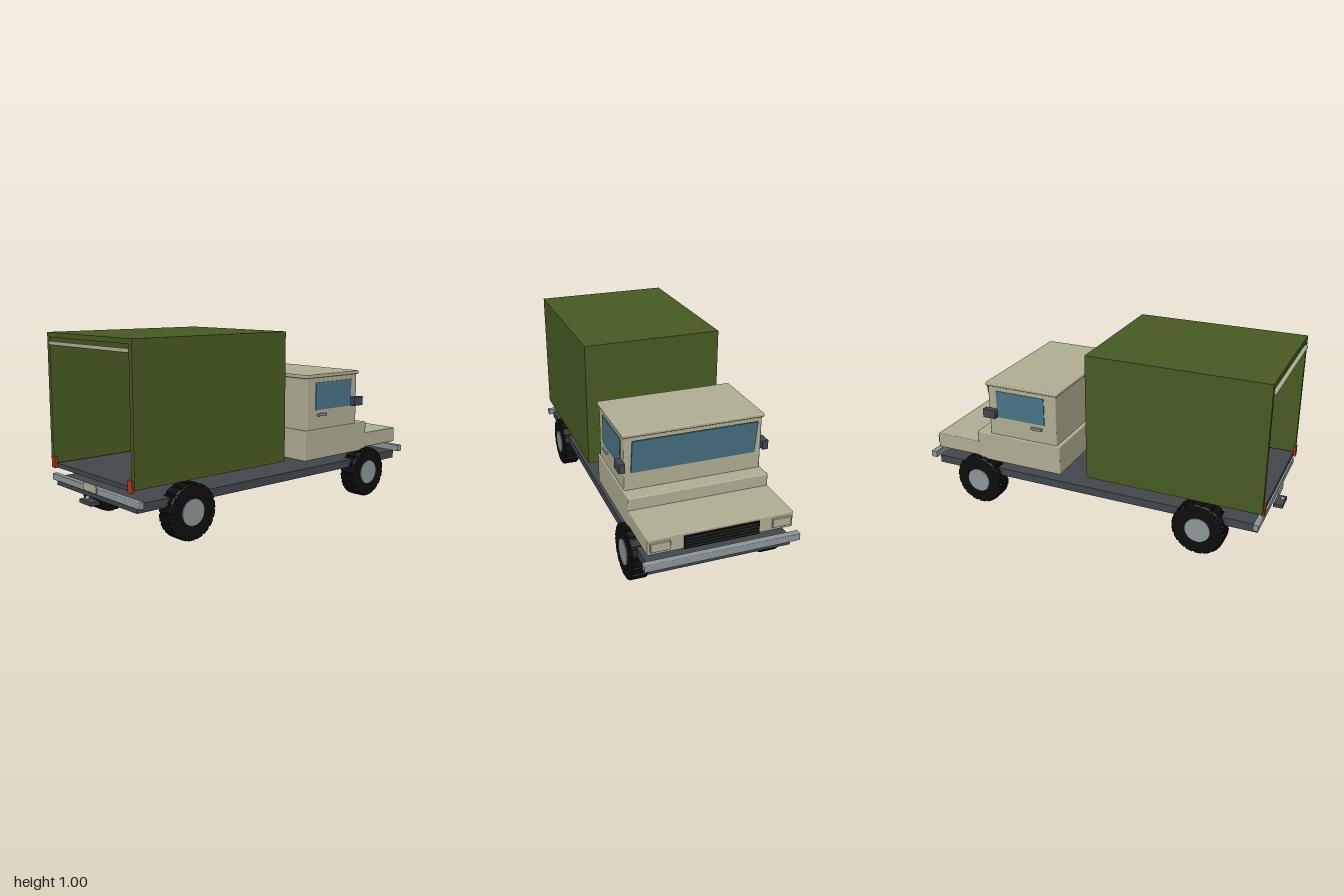
import * as THREE from 'three';
import { RoundedBoxGeometry } from 'three/addons/geometries/RoundedBoxGeometry.js';

const material = (name, color) => {
  const m = new THREE.MeshStandardMaterial({ color });
  m.name = name;
  return m;
};

export function createModel() {
  const green = material('cargo green', 0x475b22);
  const cream = material('cab cream', 0xb1af94);
  const slate = material('chassis slate', 0x42474c);
  const steel = material('steel grey', 0x8c979a);
  const rubber = material('tyre black', 0x0d0d0d);
  const glass = material('window blue', 0x4b7485);
  const orange = material('lamp orange', 0xb03a10);

  const truck = new THREE.Group();
  truck.name = 'boxTruck';

  const add = (name, geometry, mat, parent = truck) => {
    const mesh = new THREE.Mesh(geometry, mat);
    mesh.name = name;
    parent.add(mesh);
    return mesh;
  };
  // Box given by its extents on each axis; bevel > 0 rounds the edges
  const block = (name, mat, [x0, x1], [y0, y1], [z0, z1], bevel = 0) => {
    const size = [x1 - x0, y1 - y0, z1 - z0];
    const geometry = bevel ? new RoundedBoxGeometry(...size, 2, bevel) : new THREE.BoxGeometry(...size);
    const mesh = add(name, geometry, mat);
    mesh.position.set((x0 + x1) / 2, (y0 + y1) / 2, (z0 + z1) / 2);
    return mesh;
  };
  // The same box on both sides of the truck
  const pair = (name, mat, [x0, x1], y, z, bevel) => {
    block(name + 'Left', mat, [x0, x1], y, z, bevel);
    block(name + 'Right', mat, [-x1, -x0], y, z, bevel);
  };

  // Chassis and bumpers
  block('chassis', slate, [-0.373, 0.373], [0.19, 0.235], [-0.96, 0.945]);
  block('frontBumper', steel, [-0.405, 0.405], [0.232, 0.27], [-1, -0.963], 0.004);
  block('rearBumper', steel, [-0.405, 0.405], [0.215, 0.25], [0.925, 0.955], 0.004);
  block('numberPlate', cream, [-0.06, 0.06], [0.227, 0.27], [0.965, 0.972]);

  // Tow hitch
  block('hitchBar', slate, [-0.055, 0.055], [0.167, 0.188], [0.948, 1], 0.003);
  add('hitchBall', new THREE.SphereGeometry(0.011, 16, 10), steel).position.set(0, 0.2, 0.985);

  // Cargo box, open at the rear
  pair('cargoWall', green, [0.362, 0.387], [0.305, 1], [0.012, 0.965]);
  block('cargoRoof', green, [-0.362, 0.362], [0.975, 1], [0.012, 0.965]);
  block('cargoFrontWall', green, [-0.387, 0.387], [0.305, 1], [0, 0.012]);
  block('cargoFloor', slate, [-0.345, 0.345], [0.292, 0.316], [0.09, 0.96]);
  block('doorRail', cream, [-0.362, 0.362], [0.935, 0.955], [0.955, 0.975], 0.005);
  pair('tailLamp', orange, [0.34, 0.375], [0.29, 0.35], [0.958, 0.972]);

  // Cab and bonnet
  block('cabBase', cream, [-0.378, 0.378], [0.277, 0.446], [-0.685, -0.165], 0.006);
  block('cabUpper', cream, [-0.37, 0.37], [0.44, 0.737], [-0.6, -0.185], 0.006);
  block('cabRoof', cream, [-0.378, 0.378], [0.735, 0.755], [-0.612, -0.172], 0.006);
  block('bonnet', cream, [-0.378, 0.378], [0.293, 0.38], [-0.958, -0.68], 0.005);

  // Windows, mirrors and handles
  const windscreen = block('windscreen', glass, [-0.335, 0.335], [0.54, 0.724], [-0.617, -0.609]);
  windscreen.rotation.x = -0.14;
  pair('sideWindow', glass, [0.368, 0.374], [0.555, 0.71], [-0.55, -0.255]);
  pair('mirror', slate, [0.37, 0.404], [0.554, 0.605], [-0.622, -0.545], 0.004);
  pair('doorHandle', steel, [0.368, 0.383], [0.52, 0.535], [-0.337, -0.27], 0.003);

  // Headlamps and grille
  pair('headlamp', cream, [0.265, 0.365], [0.312, 0.36], [-0.97, -0.95], 0.003);
  block('grille', rubber, [-0.195, 0.195], [0.295, 0.365], [-0.966, -0.95]);
  for (let i = 0; i < 4; i++) {
    const y = 0.306 + i * 0.016;
    block('grilleBar' + (i + 1), slate, [-0.19, 0.19], [y - 0.002, y + 0.002], [-0.972, -0.962]);
  }

  // Tyre outline with shallow tread notches
  const lugs = 18;
  const outline = [];
  for (let i = 0; i < lugs; i++) {
    [[0, 0.145], [0.72, 0.145], [0.78, 0.139], [0.94, 0.139]].forEach(([t, r]) => {
      const a = ((i + t) / lugs) * Math.PI * 2;
      outline.push(new THREE.Vector2(Math.cos(a) * r, Math.sin(a) * r));
    });
  }
  const tyreGeometry = new THREE.ExtrudeGeometry(new THREE.Shape(outline), {
    depth: 0.078, bevelEnabled: true, bevelThickness: 0.006, bevelSize: 0.006, bevelOffset: -0.006, bevelSegments: 1,
  });
  tyreGeometry.translate(0, 0, -0.039).rotateY(Math.PI / 2);
  const hubGeometry = new THREE.CylinderGeometry(0.068, 0.068, 0.1, 32).rotateZ(Math.PI / 2);

  // Four wheels
  for (const [end, z] of [['front', -0.68], ['rear', 0.64]]) {
    for (const [side, s] of [['Left', 1], ['Right', -1]]) {
      const wheel = new THREE.Group();
      wheel.name = end + 'Wheel' + side;
      wheel.position.set(s * 0.36, 0.147, z);
      add('tyre', tyreGeometry, rubber, wheel);
      add('hub', hubGeometry, steel, wheel);
      truck.add(wheel);
    }
  }
  return truck;
}
